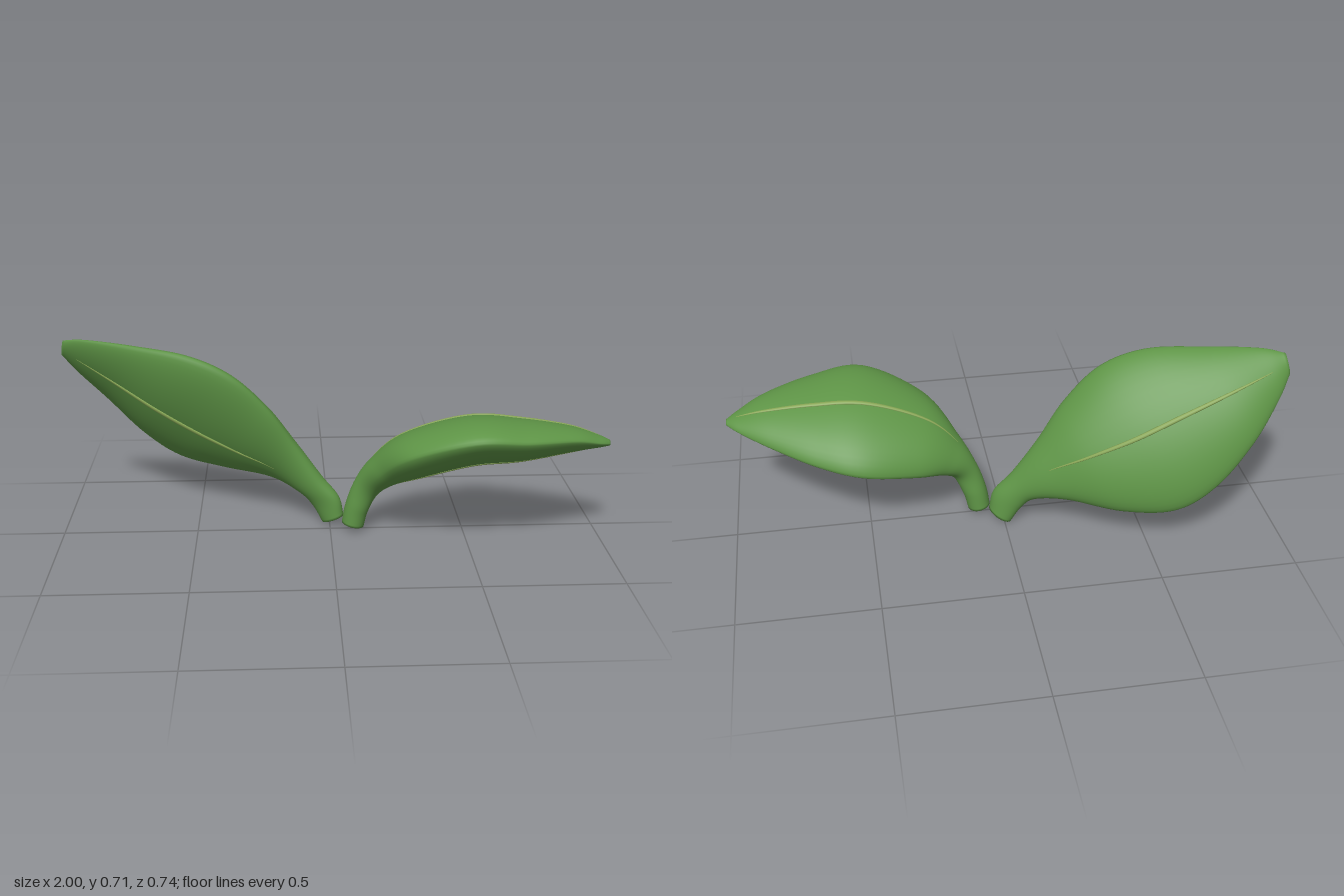
import * as THREE from 'three';

const leafMat = new THREE.MeshStandardMaterial({ color: 0x5e9446 });
const veinMat = new THREE.MeshStandardMaterial({ color: 0x88a655 });

// Closed, smooth skin over rings; ring(u, angle) gives a point
function loft(ring, rows, sides) {
  const pos = [], idx = [];
  const add = p => pos.push(p.x, p.y, p.z);
  for (let i = 0; i <= rows; i++) {
    for (let j = 0; j < sides; j++) add(ring(i / rows, (j / sides) * Math.PI * 2));
  }
  const base = (rows + 1) * sides, tip = base + 1;
  for (const u of [0, 1]) add(ring(u, 0).add(ring(u, Math.PI)).multiplyScalar(0.5));
  for (let j = 0; j < sides; j++) {
    const k = (j + 1) % sides;
    for (let i = 0; i < rows; i++) {
      const a = i * sides + j, b = i * sides + k;
      idx.push(a, b, a + sides, b, b + sides, a + sides);
    }
    idx.push(base, k, j, tip, rows * sides + j, rows * sides + k);
  }
  const g = new THREE.BufferGeometry();
  g.setAttribute('position', new THREE.Float32BufferAttribute(pos, 3));
  g.setIndex(idx);
  g.computeVertexNormals();
  return g;
}

// stations from stem to tip: [edge A], [edge B], [thickness above, below]
function makeLeaf(name, stations) {
  const curve = k => new THREE.CatmullRomCurve3(
    stations.map(s => new THREE.Vector3(s[k][0], s[k][1], s[k][2] || 0)), false, 'catmullrom', 0.5);
  const edgeA = curve(0), edgeB = curve(1), thick = curve(2);
  const mid = u => edgeA.getPoint(u).add(edgeB.getPoint(u)).multiplyScalar(0.5);

  // local frame: centre, half-width vector, upward normal, thickness
  const frame = u => {
    const half = edgeA.getPoint(u).sub(edgeB.getPoint(u)).multiplyScalar(0.5);
    const axis = mid(Math.min(u + 0.01, 1)).sub(mid(Math.max(u - 0.01, 0)));
    return { c: mid(u), half, n: axis.cross(half).normalize(), t: thick.getPoint(u) };
  };

  // stem and blade in one skin, round at the stem and lens-like in the blade
  const blade = (u, a) => {
    const { c, half, n, t } = frame(u), s = Math.sin(a);
    const sharp = 1 + 0.3 * THREE.MathUtils.smoothstep(u, 0.2, 0.5);
    const h = Math.sign(s) * Math.abs(s) ** sharp * (s > 0 ? t.x : t.y);
    return c.addScaledVector(half, Math.cos(a)).addScaledVector(n, h);
  };

  // tapered midrib on the upper (side 1) or under (side -1) face
  const vein = side => (v, a) => {
    const u = 0.34 + 0.56 * v;
    const { c, half, n, t } = frame(u), r = 0.001 + 0.008 * Math.sin(Math.PI * v);
    return c.addScaledVector(n, side > 0 ? t.x : -t.y)
      .addScaledVector(half.normalize(), r * Math.cos(a))
      .addScaledVector(n, 0.6 * r * Math.sin(a));
  };

  const group = new THREE.Group();
  group.name = name;
  const part = (label, geo, mat) => {
    const m = new THREE.Mesh(geo, mat);
    m.name = label;
    group.add(m);
  };
  part('stemAndBlade', loft(blade, 72, 40), leafMat);
  part('upperVein', loft(vein(1), 40, 8), veinMat);
  part('underVein', loft(vein(-1), 40, 8), veinMat);
  return group;
}

export function createModel() {
  const model = new THREE.Group();
  model.name = 'sprout';

  // lower leaf, edge A at the back and edge B at the front
  model.add(makeLeaf('leftLeaf', [
    [[0.085, 0.03, -0.035], [0.085, 0.03, 0.055], [0.042, 0.042]],
    [[0.1, 0.1, -0.03], [0.1, 0.1, 0.06], [0.045, 0.045]],
    [[0.14, 0.18, -0.02], [0.13, 0.19, 0.075], [0.052, 0.05]],
    [[0.21, 0.225, -0.05], [0.175, 0.28, 0.15], [0.07, 0.06]],
    [[0.33, 0.26, -0.1], [0.27, 0.39, 0.275], [0.095, 0.08]],
    [[0.52, 0.3, -0.128], [0.48, 0.475, 0.365], [0.1, 0.08]],
    [[0.68, 0.33, -0.075], [0.67, 0.465, 0.345], [0.085, 0.07]],
    [[0.84, 0.365, 0.02], [0.85, 0.445, 0.275], [0.055, 0.045]],
    [[0.95, 0.39, 0.1], [0.95, 0.415, 0.22], [0.027, 0.022]],
    [[0.998, 0.4, 0.15], [0.995, 0.4, 0.185], [0.01, 0.01]],
  ]));

  // taller leaf, edge A on top and edge B below
  model.add(makeLeaf('rightLeaf', [
    [[0.045, 0.045, -0.02], [-0.02, 0.007, -0.088], [0.036, 0.036]],
    [[0.03, 0.12, -0.025], [-0.062, 0.075, -0.095], [0.038, 0.038]],
    [[-0.04, 0.2, -0.03], [-0.11, 0.125, -0.12], [0.045, 0.045]],
    [[-0.13, 0.33, -0.03], [-0.22, 0.158, -0.19], [0.06, 0.055]],
    [[-0.23, 0.48, -0.012], [-0.4, 0.158, -0.29], [0.085, 0.075]],
    [[-0.36, 0.61, -0.005], [-0.58, 0.185, -0.35], [0.095, 0.08]],
    [[-0.52, 0.68, -0.03], [-0.72, 0.28, -0.36], [0.085, 0.075]],
    [[-0.72, 0.703, -0.09], [-0.85, 0.43, -0.33], [0.06, 0.05]],
    [[-0.9, 0.714, -0.15], [-0.95, 0.56, -0.265], [0.03, 0.025]],
    [[-0.985, 0.705, -0.185], [-0.998, 0.64, -0.22], [0.012, 0.012]],
  ]));
  return model;
}
